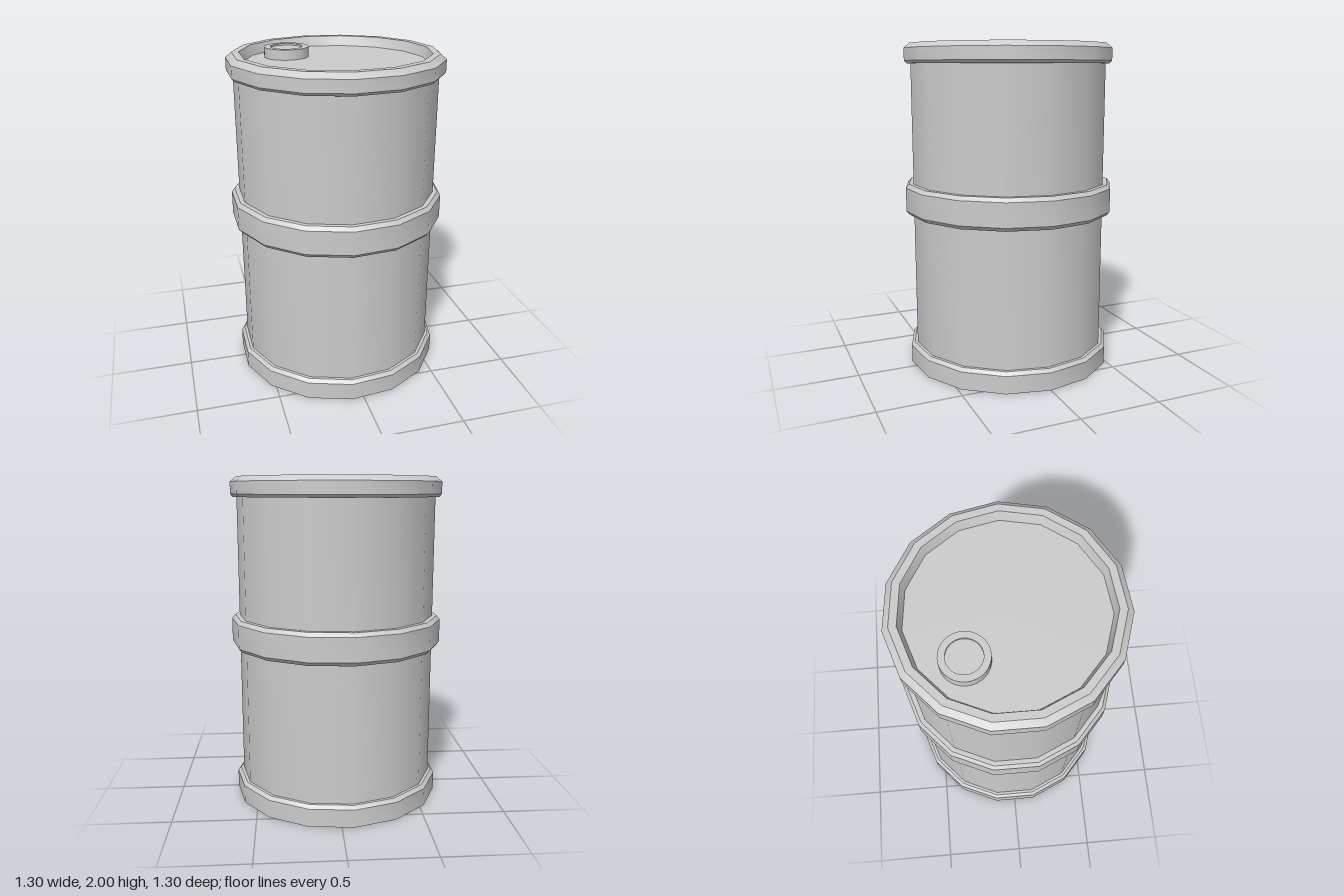
import * as THREE from 'three';
import { toCreasedNormals } from 'three/addons/utils/BufferGeometryUtils.js';

const SIDES = 15;
const material = new THREE.MeshStandardMaterial({ color: 0xcccccc });

// Revolves a [radius, height] profile, listed bottom to top along the outside,
// smooth around the axis and sharp at the chamfers; one corner points to +x.
function turned(name, profile, sides = SIDES) {
  const points = profile.map(([r, y]) => new THREE.Vector2(r, y));
  const lathe = new THREE.LatheGeometry(points, sides, Math.PI / 2);
  const mesh = new THREE.Mesh(toCreasedNormals(lathe, THREE.MathUtils.degToRad(30)), material);
  mesh.name = name;
  return mesh;
}

export function createModel() {
  const model = new THREE.Group();
  model.name = 'barrel';

  const drum = new THREE.Group();
  drum.name = 'drum';
  drum.position.x = -0.007; // an odd number of sides is wider towards its corner
  model.add(drum);

  // Plain wall between the hoops
  drum.add(turned('body', [[0.607, 0.1], [0.607, 1.9]]));

  // Closed foot
  drum.add(turned('bottomRim', [[0, 0], [0.645, 0], [0.645, 0.11], [0.625, 0.13], [0.6, 0.13]]));

  // Raised hoop around the waist
  drum.add(turned('middleBand', [
    [0.6, 0.965], [0.635, 0.965], [0.655, 0.988], [0.655, 1.132], [0.635, 1.155], [0.6, 1.155],
  ]));

  // Top rim, sloping inwards to the sunken lid
  drum.add(turned('topRim', [
    [0.6, 1.88], [0.63, 1.88], [0.645, 1.897], [0.645, 1.97], [0.609, 2], [0.566, 2], [0.546, 1.94],
  ]));
  drum.add(turned('lid', [[0.546, 1.94], [0, 1.94]]));

  // Round filler cap with a shallow recess
  const cap = turned('fillerCap', [
    [0.135, 1.94], [0.135, 2], [0.097, 2], [0.097, 1.99], [0, 1.99],
  ], 32);
  cap.position.set(-0.255, 0, -0.235);
  model.add(cap);

  return model;
}
